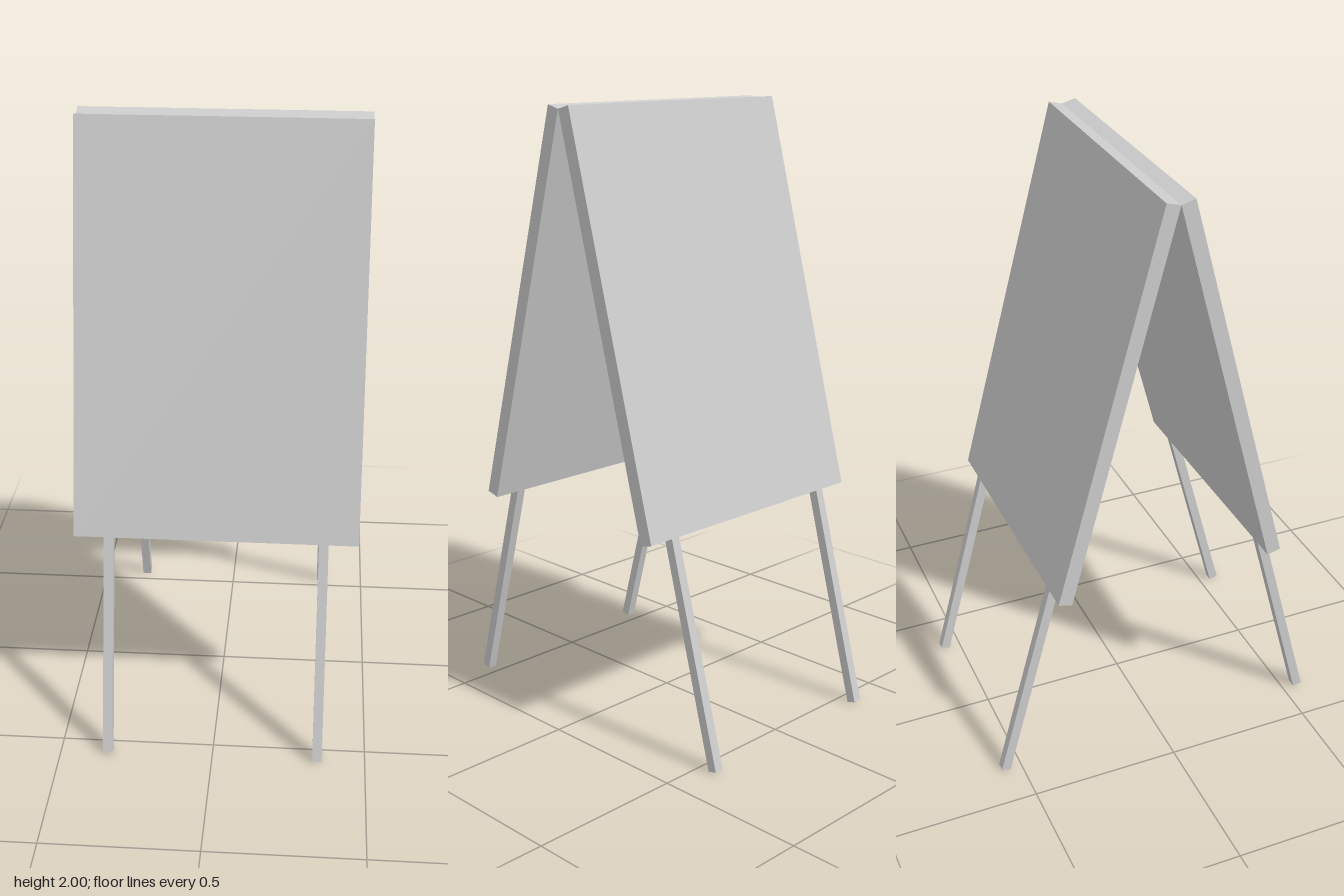
import * as THREE from 'three';

const TILT = THREE.MathUtils.degToRad(15);
const APEX_Y = 1.988;
const PANEL = { width: 0.91, length: 1.325, depth: 0.0466 };
const LEG = { size: 0.031, end: 2.06, overlap: 0.05, x: 0.344 };

const material = new THREE.MeshStandardMaterial({ color: 0xcccccc, flatShading: true });

function box(name, w, h, d, x, y, z) {
  const mesh = new THREE.Mesh(new THREE.BoxGeometry(w, h, d), material);
  mesh.name = name;
  mesh.position.set(x, y, z);
  return mesh;
}

// One leaning half: a board whose inner top edge lies on the ridge, with two legs
function createHalf(side) {
  const leaf = new THREE.Group();
  leaf.name = side + 'Leaf';
  leaf.position.y = APEX_Y;
  leaf.rotation.x = -TILT;
  const midZ = PANEL.depth / 2;

  leaf.add(box(side + 'Board', PANEL.width, PANEL.length, PANEL.depth, 0, -PANEL.length / 2, midZ));

  // Legs run a little way up into the board
  const legTop = PANEL.length - LEG.overlap;
  for (const s of [-1, 1]) {
    leaf.add(box(side + (s > 0 ? 'LegA' : 'LegB'), LEG.size, LEG.end - legTop, LEG.size,
      s * LEG.x, -(LEG.end + legTop) / 2, midZ));
  }

  const half = new THREE.Group();
  half.name = side + 'Half';
  half.add(leaf);
  return half;
}

export function createModel() {
  const model = new THREE.Group();
  model.name = 'sandwichBoard';
  const front = createHalf('front');
  const back = createHalf('back');
  back.rotation.y = Math.PI;
  model.add(front, back);
  return model;
}
